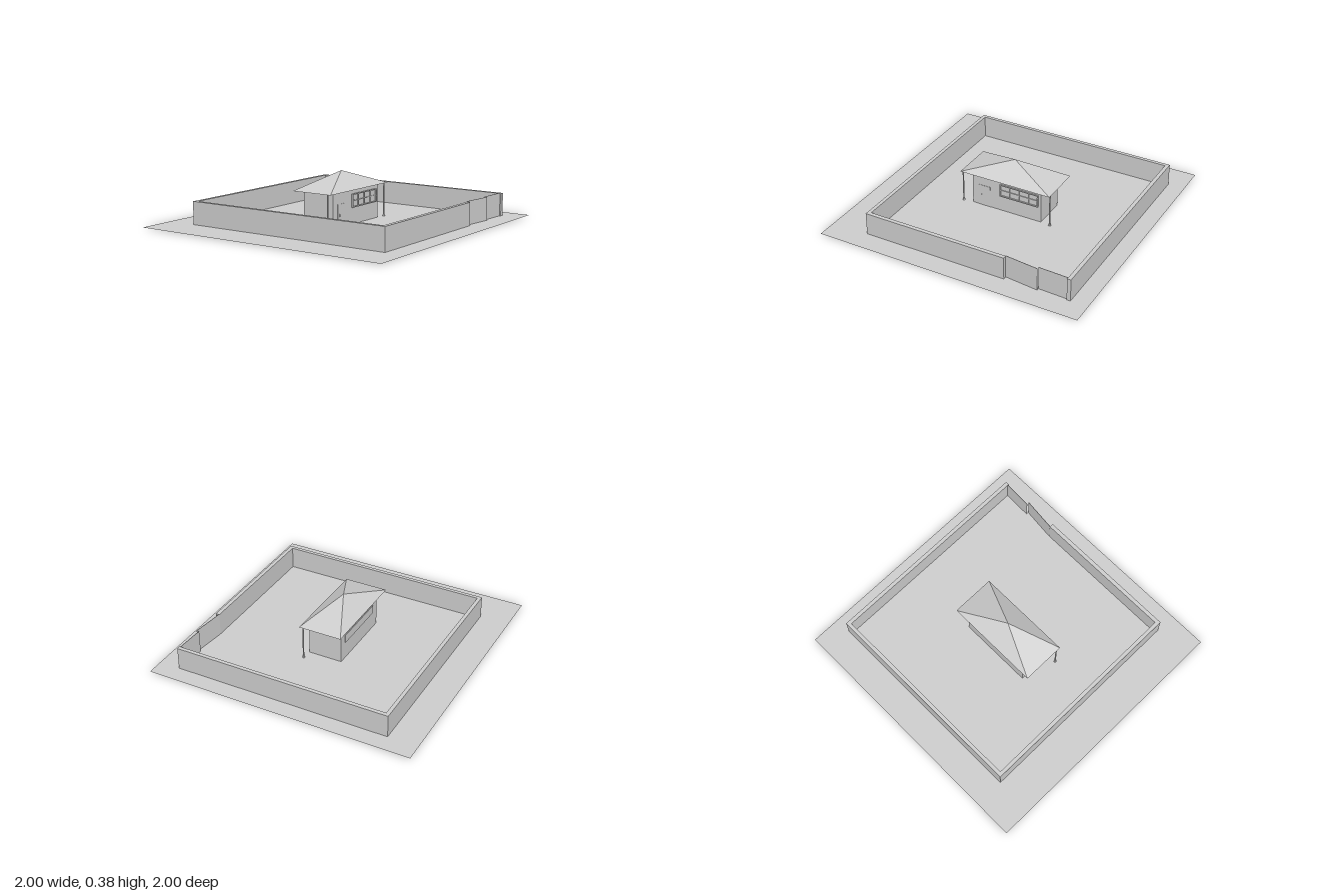
import * as THREE from 'three';

const grey = new THREE.MeshStandardMaterial({ color: 0xcccccc, flatShading: true, side: THREE.DoubleSide });
grey.name = 'grey';

const GROUND = 0.006;

function add(parent, name, geometry) {
  const mesh = new THREE.Mesh(geometry, grey);
  mesh.name = name;
  parent.add(mesh);
  return mesh;
}

// Box given by its limits on each axis
function block(parent, name, [x0, x1], [y0, y1], [z0, z1]) {
  const mesh = add(parent, name, new THREE.BoxGeometry(x1 - x0, y1 - y0, z1 - z0));
  mesh.position.set((x0 + x1) / 2, (y0 + y1) / 2, (z0 + z1) / 2);
  return mesh;
}

function group(parent, name) {
  const g = new THREE.Group();
  g.name = name;
  parent.add(g);
  return g;
}

function buildWall(root) {
  const wall = group(root, 'perimeterWall');
  const top = 0.174;
  // U-shaped outline with one corner left open for the gate
  const outline = [
    [0.38, 0.843], [-0.715, 0.843], [-0.715, -0.78], [0.873, -0.78], [0.873, 0.843],
    [0.845, 0.843], [0.845, -0.753], [-0.688, -0.753], [-0.688, 0.814], [0.38, 0.814],
  ];
  const shape = new THREE.Shape(outline.map(([x, z]) => new THREE.Vector2(x, -z)));
  const geometry = new THREE.ExtrudeGeometry(shape, { depth: top - GROUND, bevelEnabled: false });
  geometry.rotateX(-Math.PI / 2).translate(0, GROUND, 0);
  add(wall, 'wall', geometry);
}

function buildGate(root) {
  const gate = group(root, 'gate');
  // Two thin leaves, each standing slightly ajar
  const leaves = [[0.38, 0.815, 0.63, 0.842], [0.63, 0.824, 0.845, 0.832]];
  for (const [x0, z0, x1, z1] of leaves) {
    const length = Math.hypot(x1 - x0, z1 - z0);
    const leaf = add(gate, 'gateLeaf', new THREE.BoxGeometry(length, 0.178 - GROUND, 0.003));
    leaf.position.set((x0 + x1) / 2, (0.178 + GROUND) / 2, (z0 + z1) / 2);
    leaf.rotation.y = -Math.atan2(z1 - z0, x1 - x0);
  }
}

function buildFrontWindow(house) {
  const win = group(house, 'frontWindow');
  const [x0, x1, y0, y1, t] = [-0.052, 0.256, 0.125, 0.224, 0.008];
  const depth = [0.126, 0.136];
  // Outer frame
  block(win, 'frameTop', [x0, x1], [y1 - t, y1], depth);
  block(win, 'frameBottom', [x0, x1], [y0, y0 + t], depth);
  block(win, 'frameRight', [x0, x0 + t], [y0 + t, y1 - t], depth);
  block(win, 'frameLeft', [x1 - t, x1], [y0 + t, y1 - t], depth);
  // Glazing bars
  const inner = [0.126, 0.133];
  for (let i = 1; i < 4; i++) {
    const x = x0 + (x1 - x0) * i / 4;
    block(win, 'mullion', [x - 0.003, x + 0.003], [y0 + t, y1 - t], inner);
  }
  const mid = (y0 + y1) / 2;
  block(win, 'crossBar', [x0 + t, x1 - t], [mid - 0.003, mid + 0.003], inner);
}

function buildHouse(root) {
  const house = group(root, 'house');
  block(house, 'houseBody', [-0.278, 0.278], [0, 0.258], [-0.127, 0.127]);

  // Hipped roof meeting in one peak
  const roof = new THREE.ConeGeometry(Math.SQRT2, 0.119, 4);
  roof.rotateY(Math.PI / 4).scale(0.36, 1, 0.163).translate(0, 0.258 + 0.0595, 0);
  add(house, 'roof', roof);

  // Door and handle
  block(house, 'door', [-0.225, -0.133], [GROUND, 0.171], [0.126, 0.129]);
  block(house, 'doorHandle', [-0.207, -0.201], [0.08, 0.1], [0.128, 0.135]);

  buildFrontWindow(house);
  block(house, 'backWindow', [-0.21, 0.22], [0.135, 0.198], [-0.132, -0.126]);

  // Posts under the front corners of the eaves
  for (const side of [-1, 1]) {
    const post = add(house, 'porchPost', new THREE.CylinderGeometry(0.005, 0.005, 0.252, 10));
    post.position.set(side * 0.352, GROUND + 0.126, 0.135);
    const foot = add(house, 'postFoot', new THREE.CylinderGeometry(0.008, 0.01, 0.01, 10));
    foot.position.set(side * 0.352, GROUND + 0.005, 0.135);
  }
}

export function createModel() {
  const root = new THREE.Group();
  root.name = 'walledHouse';

  // Flat plot of land
  const ground = new THREE.PlaneGeometry(2, 2);
  ground.rotateX(-Math.PI / 2).translate(0, GROUND, 0);
  add(root, 'ground', ground);

  buildWall(root);
  buildGate(root);
  buildHouse(root);
  return root;
}
